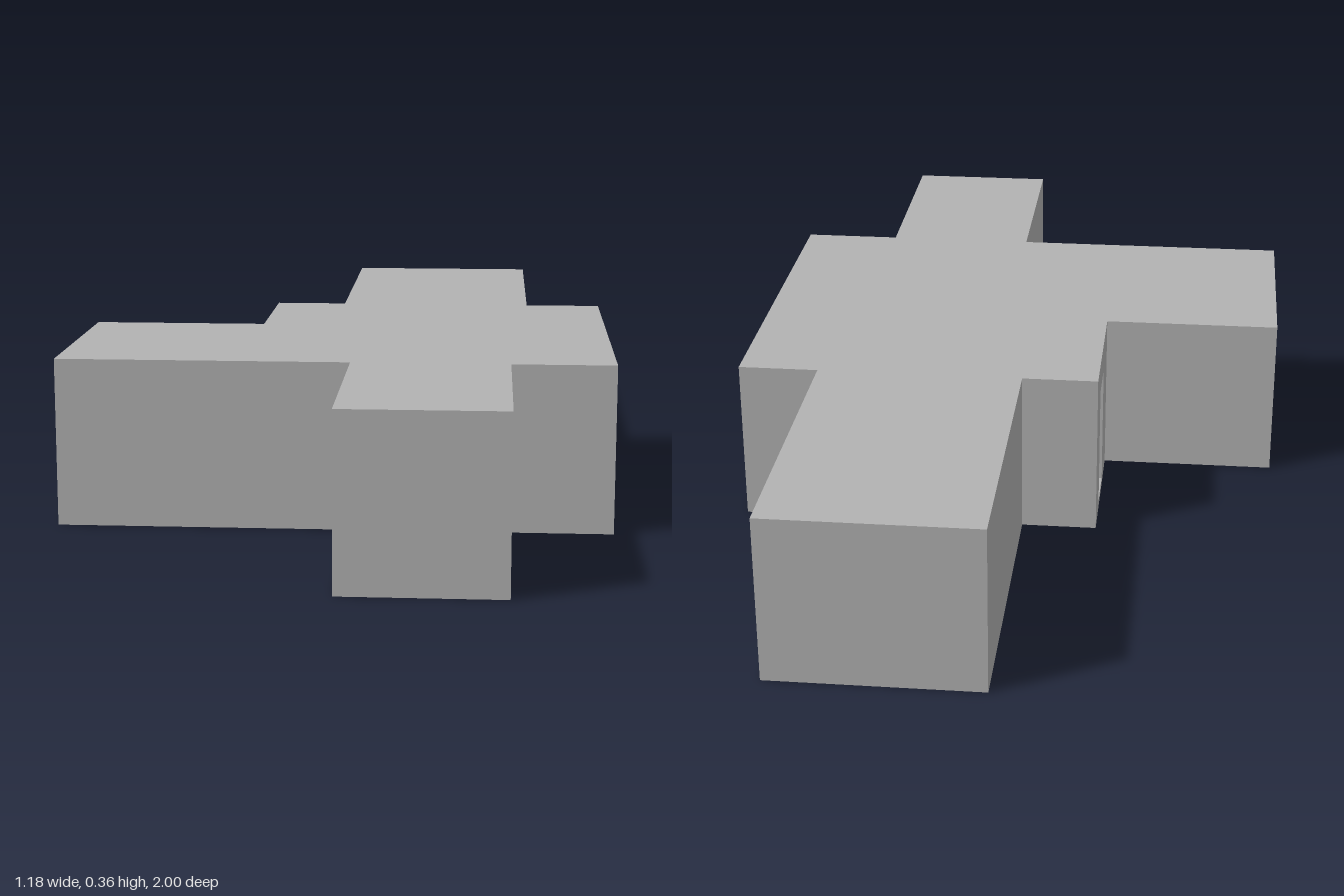
import * as THREE from 'three';

const H = 0.36;   // building height
const T = 0.015;  // wall, floor and roof thickness
const DOOR_TOP = 0.29;

// Core room footprint
const CORE = { x0: -0.2, x1: 0.59, z0: -0.32, z1: 0.51 };

export function createModel() {
  const group = new THREE.Group();
  const grey = new THREE.MeshStandardMaterial({ color: 0xb2b2b2 });
  grey.name = 'plain grey';

  const add = (name, geometry) => {
    const mesh = new THREE.Mesh(geometry, grey);
    mesh.name = name;
    group.add(mesh);
    return mesh;
  };

  // Box given by its limits on each axis
  const block = (name, x0, x1, y0, y1, z0, z1) => {
    const mesh = add(name, new THREE.BoxGeometry(x1 - x0, y1 - y0, z1 - z0));
    mesh.position.set((x0 + x1) / 2, (y0 + y1) / 2, (z0 + z1) / 2);
  };

  // Side wall with a doorway cut up from the floor; xOuter is its +x face
  const doorWall = (name, xOuter, doorZ0, doorZ1) => {
    const outline = [
      [CORE.z0, T], [doorZ0, T], [doorZ0, DOOR_TOP], [doorZ1, DOOR_TOP],
      [doorZ1, T], [CORE.z1, T], [CORE.z1, H - T], [CORE.z0, H - T],
    ].map(([z, y]) => new THREE.Vector2(z, y));
    const geometry = new THREE.ExtrudeGeometry(new THREE.Shape(outline), {
      depth: T, bevelEnabled: false,
    });
    geometry.rotateY(-Math.PI / 2);
    add(name, geometry).position.x = xOuter;
  };

  // Hollow core room
  const { x0, x1, z0, z1 } = CORE;
  block('coreFloor', x0, x1, 0, T, z0, z1);
  block('coreRoof', x0, x1, H - T, H, z0, z1);
  block('coreBackWall', x0 + T, x1 - T, T, H - T, z0, z0 + T);
  block('coreFrontWall', x0 + T, x1 - T, T, H - T, z1 - T, z1);
  doorWall('leftDoorWall', x1, 0.015, 0.13);
  doorWall('rightDoorWall', x0 + T, -0.22, -0.105);

  // Closed wings around the core
  block('backWing', -0.035, 0.415, 0, H, -1, z0);
  block('frontWing', 0.035, 0.37, 0, H, z1, 1);
  block('sideWing', -0.59, x0, 0, H, 0.015, z1);

  return group;
}
